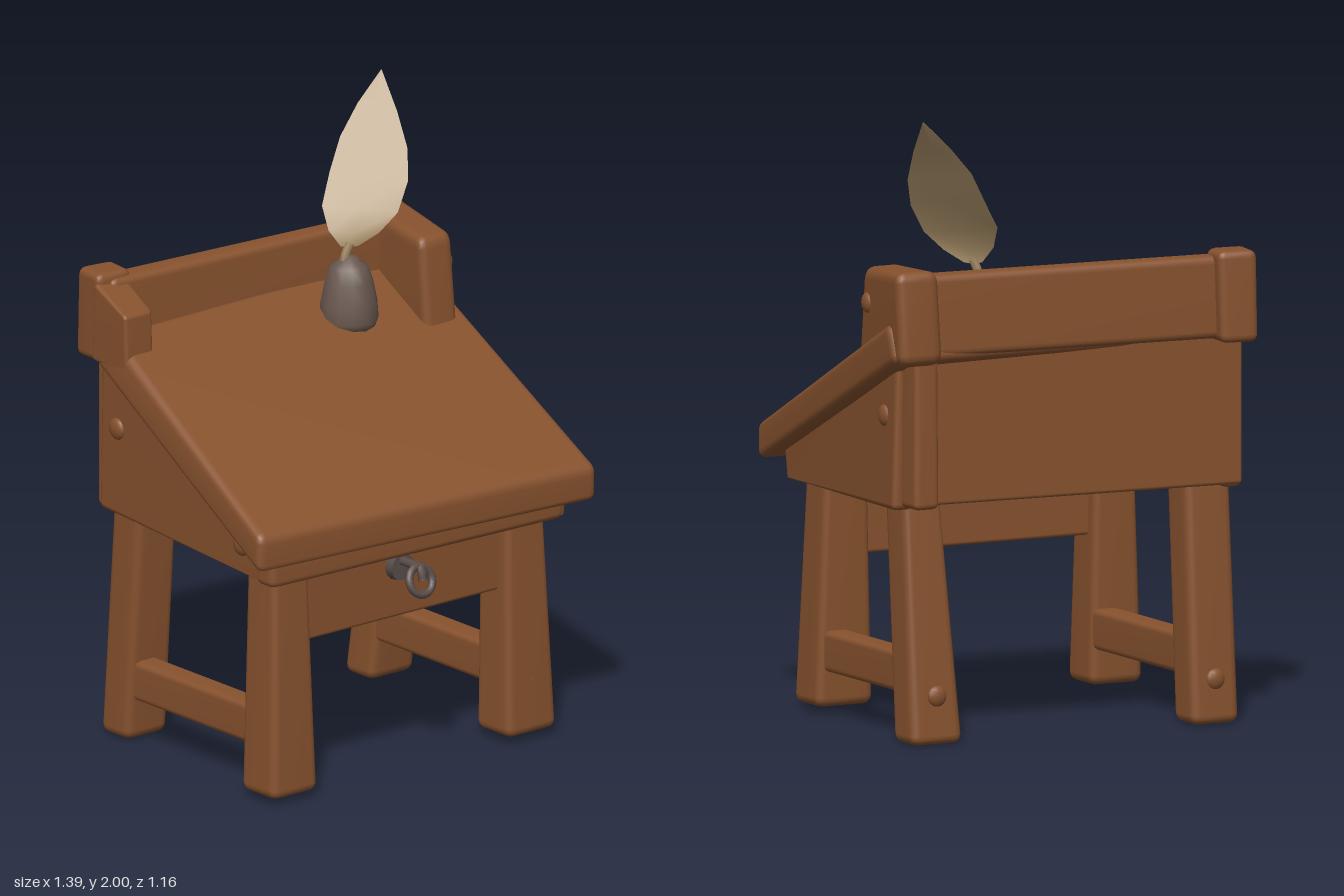
import * as THREE from 'three';
import { mergeVertices } from 'three/addons/utils/BufferGeometryUtils.js';
import { RoundedBoxGeometry } from 'three/addons/geometries/RoundedBoxGeometry.js';

const paint = (name, color, extra = {}) => {
  const m = new THREE.MeshStandardMaterial({ color, ...extra });
  m.name = name;
  return m;
};

export function createModel() {
  const model = new THREE.Group();
  const wood = paint('brown wood', 0x87522e);
  const iron = paint('dark iron', 0x5a4d49);
  const clay = paint('grey clay', 0x6a5950);
  const quill = paint('feather tan', 0xa68c66, { side: THREE.DoubleSide });

  const add = (name, geo, mat) => {
    const mesh = new THREE.Mesh(geo, mat);
    mesh.name = name;
    model.add(mesh);
    return mesh;
  };

  // Rounded block stretched to eight corners.
  // Each ring of four runs: back -x, back +x, front +x, front -x.
  const block = (name, bottom, top, r = 0.02) => {
    const c = [...bottom, ...top].map((p) => new THREE.Vector3(...p));
    const sx = c[0].distanceTo(c[1]), sy = c[0].distanceTo(c[4]), sz = c[0].distanceTo(c[3]);
    let geo = new RoundedBoxGeometry(sx, sy, sz, 2, Math.min(r, sx / 2.2, sy / 2.2, sz / 2.2));
    geo.deleteAttribute('normal');
    geo.deleteAttribute('uv');
    const pos = geo.attributes.position;
    const ring = (o, u, w) => {
      const back = c[o].clone().lerp(c[o + 1], u);
      return back.lerp(c[o + 3].clone().lerp(c[o + 2], u), w);
    };
    for (let i = 0; i < pos.count; i++) {
      const u = pos.getX(i) / sx + 0.5, v = pos.getY(i) / sy + 0.5, w = pos.getZ(i) / sz + 0.5;
      const p = ring(0, u, w).lerp(ring(4, u, w), v);
      pos.setXYZ(i, p.x, p.y, p.z);
    }
    geo = mergeVertices(geo, 1e-4);
    geo.computeVertexNormals();
    return add(name, geo, wood);
  };

  // Horizontal rectangle as a ring of corners
  const rect = (x0, x1, z0, z1, y) => [[x0, y, z0], [x1, y, z0], [x1, y, z1], [x0, y, z1]];

  // Legs, wider at the foot
  block('frontLegRight', rect(-0.615, -0.425, 0.305, 0.475, 0.025), rect(-0.58, -0.435, 0.295, 0.435, 0.8), 0.03);
  block('frontLegLeft', rect(0.355, 0.56, 0.305, 0.475, 0.025), rect(0.38, 0.535, 0.295, 0.435, 0.8), 0.03);
  block('backLegRight', rect(-0.545, -0.375, -0.475, -0.335, 0.005), rect(-0.54, -0.375, -0.42, -0.28, 0.8), 0.03);
  block('backLegLeft', rect(0.43, 0.615, -0.44, -0.3, 0.005), rect(0.465, 0.6, -0.35, -0.21, 0.8), 0.03);

  // Side stretchers and front apron
  for (const x of [-0.48, 0.49]) {
    block('sideStretcher', rect(x - 0.045, x + 0.045, -0.36, 0.36, 0.14), rect(x - 0.045, x + 0.045, -0.36, 0.36, 0.272));
  }
  block('frontApron', rect(-0.46, 0.42, 0.34, 0.4, 0.505), rect(-0.46, 0.42, 0.34, 0.4, 0.78), 0.012);

  // Sloped box: walls, floor and rear corner post
  block('sideWallRight',
    [[-0.56, 0.76, -0.46], [-0.49, 0.76, -0.46], [-0.53, 0.74, 0.45], [-0.61, 0.74, 0.45]],
    [[-0.56, 1.27, -0.45], [-0.49, 1.27, -0.45], [-0.53, 0.86, 0.46], [-0.61, 0.86, 0.46]]);
  block('sideWallLeft',
    [[0.57, 0.755, -0.37], [0.65, 0.755, -0.37], [0.57, 0.74, 0.5], [0.5, 0.74, 0.5]],
    [[0.57, 1.26, -0.37], [0.635, 1.26, -0.37], [0.58, 0.84, 0.5], [0.5, 0.84, 0.5]]);
  block('rearPost', rect(0.53, 0.62, -0.465, -0.33, 0.765), rect(0.53, 0.615, -0.455, -0.34, 1.28));
  block('backPanel',
    [[-0.555, 0.77, -0.47], [0.6, 0.77, -0.41], [0.6, 0.77, -0.34], [-0.555, 0.77, -0.4]],
    [[-0.555, 1.32, -0.47], [0.6, 1.32, -0.41], [0.6, 1.32, -0.34], [-0.555, 1.32, -0.4]], 0.012);
  block('frontBar',
    [[-0.61, 0.73, 0.37], [0.56, 0.73, 0.42], [0.56, 0.73, 0.505], [-0.61, 0.73, 0.46]],
    [[-0.61, 0.86, 0.37], [0.57, 0.86, 0.42], [0.57, 0.84, 0.505], [-0.61, 0.84, 0.46]], 0.025);
  block('floor', rect(-0.53, 0.56, -0.38, 0.4, 0.79), rect(-0.53, 0.56, -0.38, 0.4, 0.82), 0.008);

  // Sloped writing lid
  block('writingLid',
    [[-0.575, 1.245, -0.465], [0.69, 1.245, -0.465], [0.635, 0.79, 0.58], [-0.7, 0.805, 0.5]],
    [[-0.565, 1.36, -0.4], [0.695, 1.37, -0.415], [0.635, 0.91, 0.58], [-0.695, 0.93, 0.5]], 0.03);

  // Back rail and its end brackets
  block('backRail',
    [[-0.52, 1.25, -0.53], [0.6, 1.25, -0.45], [0.6, 1.25, -0.36], [-0.52, 1.25, -0.43]],
    [[-0.52, 1.515, -0.53], [0.6, 1.515, -0.445], [0.6, 1.515, -0.37], [-0.52, 1.515, -0.44]], 0.025);
  block('bracketLeft',
    [[0.53, 1.235, -0.495], [0.685, 1.235, -0.495], [0.635, 1.17, -0.1], [0.5, 1.17, -0.1]],
    [[0.545, 1.535, -0.485], [0.695, 1.535, -0.475], [0.635, 1.51, -0.14], [0.5, 1.51, -0.14]], 0.035);
  block('bracketRight',
    [[-0.555, 1.24, -0.585], [-0.43, 1.24, -0.565], [-0.44, 1.24, -0.44], [-0.56, 1.24, -0.44]],
    [[-0.55, 1.535, -0.58], [-0.42, 1.535, -0.56], [-0.43, 1.535, -0.45], [-0.565, 1.535, -0.46]], 0.025);
  block('bracketCheek',
    [[-0.575, 1.25, -0.48], [-0.45, 1.25, -0.48], [-0.47, 1.25, -0.29], [-0.585, 1.25, -0.29]],
    [[-0.565, 1.51, -0.48], [-0.44, 1.51, -0.48], [-0.47, 1.44, -0.3], [-0.585, 1.44, -0.3]], 0.015);

  // Wooden pegs: position, flattened axis, radius
  const pegs = [
    [0.63, 1.05, -0.28, 'x', 0.036], [0.645, 1.4, -0.19, 'x', 0.033],
    [-0.565, 1.05, -0.36, 'x', 0.036], [-0.603, 0.84, 0.3, 'x', 0.036],
    [-0.46, 0.15, -0.462, 'z', 0.034], [0.52, 0.16, -0.423, 'z', 0.034],
    [-0.52, 0.2, 0.457, 'z', 0.02], [0.46, 0.2, 0.457, 'z', 0.02],
  ];
  for (const [x, y, z, axis, r] of pegs) {
    const peg = add('peg', new THREE.SphereGeometry(r, 12, 8), wood);
    peg.position.set(x, y, z);
    peg.scale[axis] = 0.5;
  }

  // Key in the apron: collar, stem and ring hanging outwards
  const collar = add('keyCollar', new THREE.CylinderGeometry(0.045, 0.05, 0.04, 12), iron);
  collar.rotation.x = Math.PI / 2;
  collar.position.set(-0.045, 0.68, 0.41);
  const stem = new THREE.CatmullRomCurve3([[-0.045, 0.7, 0.4], [-0.045, 0.7, 0.48], [-0.045, 0.695, 0.52], [-0.045, 0.66, 0.53]]
    .map((p) => new THREE.Vector3(...p)));
  add('keyStem', new THREE.TubeGeometry(stem, 12, 0.015, 8), iron);
  const ring = add('keyRing', new THREE.TorusGeometry(0.046, 0.013, 8, 20), iron);
  ring.position.set(-0.05, 0.66, 0.525);
  ring.rotation.x = -0.35;

  // Ink pot with a domed stopper
  const profile = [[0, 0], [0.085, 0], [0.096, 0.025], [0.092, 0.08], [0.078, 0.15], [0.06, 0.2], [0.035, 0.215], [0.024, 0.23], [0, 0.235]];
  const pot = add('inkPot', new THREE.LatheGeometry(profile.map((p) => new THREE.Vector2(...p)), 12), clay);
  pot.position.set(0.29, 1.245, -0.24);

  // Feather: rows of rear edge, spine, front edge
  const rows = [
    [[0.265, 1.51, -0.25], [0.29, 1.505, -0.235], [0.315, 1.51, -0.22]],
    [[0.24, 1.56, -0.28], [0.3, 1.55, -0.23], [0.37, 1.55, -0.185]],
    [[0.25, 1.63, -0.325], [0.335, 1.62, -0.25], [0.43, 1.61, -0.165]],
    [[0.315, 1.72, -0.365], [0.39, 1.71, -0.28], [0.485, 1.7, -0.18]],
    [[0.375, 1.82, -0.385], [0.445, 1.81, -0.315], [0.52, 1.79, -0.225]],
    [[0.46, 1.91, -0.4], [0.495, 1.9, -0.36], [0.54, 1.89, -0.3]],
    [[0.555, 2.0, -0.4], [0.56, 2.0, -0.4], [0.56, 1.995, -0.398]],
  ];
  const index = [];
  for (let r = 0; r < rows.length - 1; r++) {
    for (let k = 0; k < 2; k++) {
      const a = r * 3 + k;
      index.push(a, a + 1, a + 4, a, a + 4, a + 3);
    }
  }
  const blade = new THREE.BufferGeometry();
  blade.setAttribute('position', new THREE.Float32BufferAttribute(rows.flat(2), 3));
  blade.setIndex(index);
  blade.computeVertexNormals();
  add('featherBlade', blade, quill);
  const shaft = new THREE.CatmullRomCurve3([[0.27, 1.44, -0.24], [0.275, 1.48, -0.24], [0.29, 1.52, -0.234]]
    .map((p) => new THREE.Vector3(...p)));
  add('featherShaft', new THREE.TubeGeometry(shaft, 8, 0.014, 6), quill);

  return model;
}
